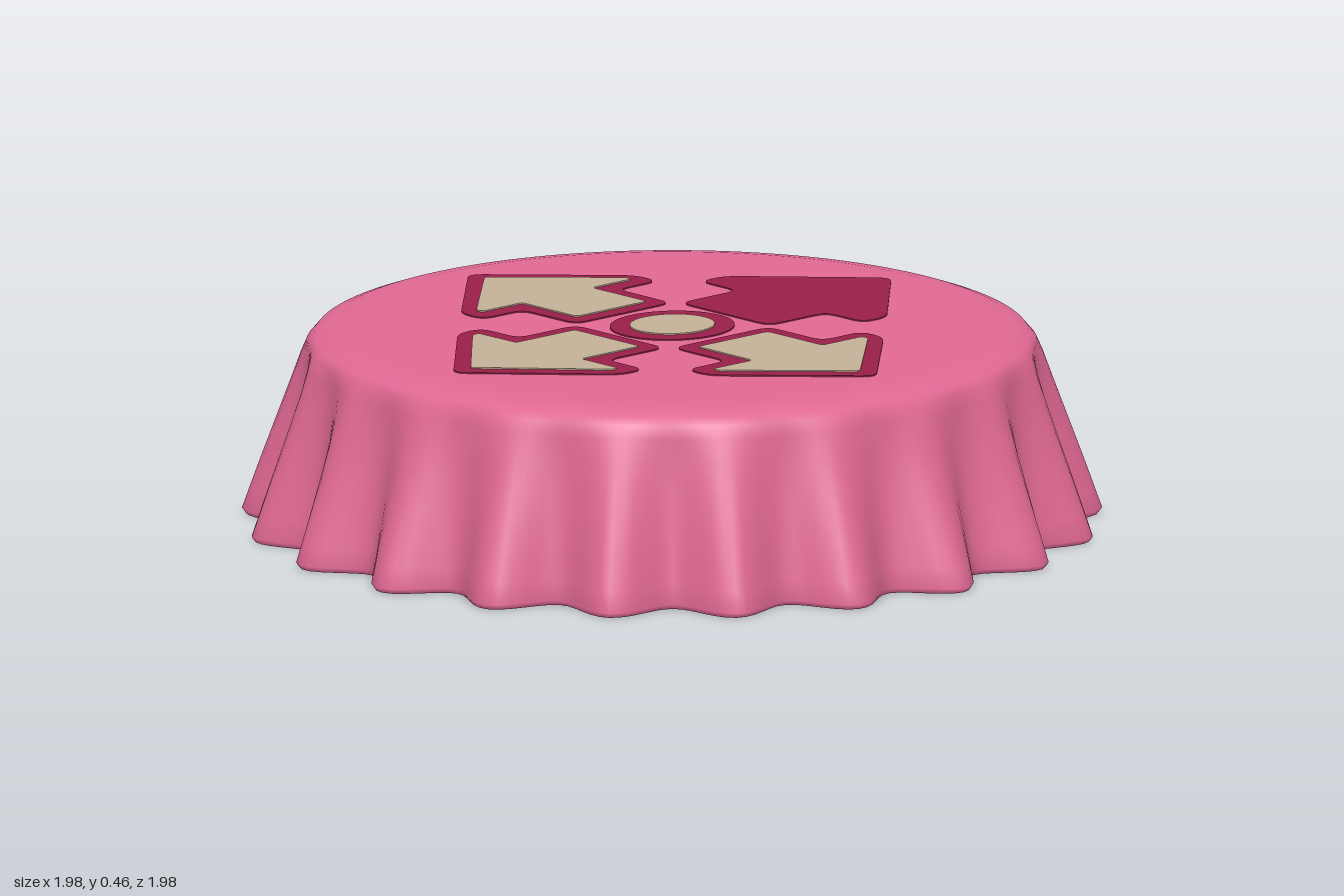
import * as THREE from 'three';
import { mergeVertices } from 'three/addons/utils/BufferGeometryUtils.js';

const mat = (name, color, side = THREE.FrontSide) => {
  const m = new THREE.MeshStandardMaterial({ color, side });
  m.name = name;
  return m;
};

const FLUTES = 21, TOP = 0.455, BOARD_Y = 0.08;

// Crimped cap: a lathed shell whose skirt is pushed inward in waves that fade towards the top
function capGeometry() {
  const profile = [
    [0.93, 0.085], [0.962, 0.02], [0.972, 0.003], [0.985, 0], [0.994, 0.012],
    [0.977, 0.06], [0.952, 0.13], [0.926, 0.2], [0.9, 0.27], [0.876, 0.335], [0.856, 0.39],
    [0.842, 0.422], [0.825, 0.438], [0.795, 0.449], [0.755, TOP], [0.7, TOP], [0, TOP],
  ].map(([r, y]) => new THREE.Vector2(r, y));
  let g = new THREE.LatheGeometry(profile, FLUTES * 12);
  const p = g.attributes.position;
  for (let i = 0; i < p.count; i++) {
    const x = p.getX(i), y = p.getY(i), z = p.getZ(i), r = Math.hypot(x, z);
    if (r < 0.01) continue;
    const amp = 0.1 * Math.pow(Math.max(0, 1 - y / 0.43), 0.8);
    const k = 1 + amp * (Math.cos(FLUTES * Math.atan2(z, x)) - 1) / 2 / r;
    p.setXYZ(i, x * k, y, z * k);
  }
  g.deleteAttribute('uv');
  g.deleteAttribute('normal');
  g = mergeVertices(g, 1e-5);
  g.computeVertexNormals();
  return g;
}

// Arrow along +x, given as its upper half; corners softened by radius
function arrowShape(half, radius) {
  const pts = [...half.map(([x, y]) => [x, -y]), ...half.slice().reverse()]
    .filter(([x, y], i, a) => i === 0 || Math.hypot(x - a[i - 1][0], y - a[i - 1][1]) > 1e-6)
    .map(([x, y]) => new THREE.Vector2(x, y));
  const s = new THREE.Shape();
  const n = pts.length;
  pts.forEach((c, i) => {
    const toward = (q) => {
      const d = q.clone().sub(c);
      return c.clone().addScaledVector(d, Math.min(radius / d.length(), 0.45));
    };
    const a = toward(pts[(i + n - 1) % n]), b = toward(pts[(i + 1) % n]);
    if (i === 0) s.moveTo(a.x, a.y); else s.lineTo(a.x, a.y);
    s.quadraticCurveTo(c.x, c.y, b.x, b.y);
  });
  s.closePath();
  return s;
}

export function createModel() {
  const model = new THREE.Group();
  model.name = 'bottleCap';
  const pink = mat('pink', 0xe06893, THREE.DoubleSide);
  const crimson = mat('crimson', 0x981f48);
  const cream = mat('cream', 0xc4b096);
  const green = mat('darkGreen', 0x0a3022);
  const black = mat('black', 0x222022);
  const grey = mat('warmGrey', 0xb09e8c);
  const brass = mat('brass', 0xa8742c);

  const add = (parent, name, geometry, material) => {
    const m = new THREE.Mesh(geometry, material);
    m.name = name;
    parent.add(m);
    return m;
  };

  add(model, 'cap', capGeometry(), pink);

  // Direction arrows and centre button on the top
  const marks = new THREE.Group();
  marks.name = 'topMarkings';
  marks.position.set(-0.01, TOP, -0.01);
  model.add(marks);
  const plate = (shape, depth) =>
    new THREE.ExtrudeGeometry(shape, { depth, bevelEnabled: false, curveSegments: 5 }).rotateX(-Math.PI / 2);
  const border = plate(arrowShape(
    [[0.165, 0.15], [0.345, 0.15], [0.345, 0.275], [0.42, 0.275], [0.69, 0]], 0.035), 0.003);
  const fill = plate(arrowShape(
    [[0.205, 0.11], [0.39, 0.11], [0.39, 0.235], [0.41, 0.235], [0.635, 0]], 0.012), 0.006);
  ['right', 'back', 'left', 'front'].forEach((name, i) => {
    const arrow = new THREE.Group();
    arrow.name = name + 'Arrow';
    arrow.rotation.y = i * Math.PI / 2;
    marks.add(arrow);
    add(arrow, 'arrowBorder', border, crimson);
    if (name !== 'back') add(arrow, 'arrowFill', fill, cream);
  });
  const disc = (r, h) => new THREE.CylinderGeometry(r, r, h, 48).translate(0, h / 2, 0);
  const ring = add(marks, 'buttonBorder', disc(0.138, 0.003), crimson);
  const button = add(marks, 'button', disc(0.094, 0.006), cream);
  ring.scale.z = button.scale.z = 1.08;

  // Circuit board closing the underside
  const board = new THREE.Group();
  board.name = 'circuitBoard';
  board.position.y = BOARD_Y;
  model.add(board);
  add(board, 'boardDisc', new THREE.CylinderGeometry(0.86, 0.86, 0.02, 96).translate(0, 0.01, 0), green);
  const spot = (name, x, z, rx, rz, material, h = 0.004) => {
    const m = add(board, name, new THREE.CylinderGeometry(1, 1, h, 32), material);
    m.scale.set(rx, 1, rz);
    m.position.set(x, -h / 2, z);
  };

  // Round chip with a ring of solder dots
  const cx = 0.145, cz = 0.045, dots = 18;
  spot('chip', cx, cz, 0.25, 0.25, black);
  for (let i = 0; i < dots; i++) {
    const a = (i / dots) * Math.PI * 2;
    spot('solderDot', cx + 0.29 * Math.cos(a), cz + 0.29 * Math.sin(a), 0.023, 0.023, grey);
  }

  // Large contacts, brass pads and small components
  spot('largeContact', -0.38, -0.36, 0.19, 0.19, grey);
  spot('smallContact', -0.33, 0.46, 0.15, 0.15, grey);
  spot('brassPad', 0.65, -0.02, 0.095, 0.095, brass);
  spot('brassPad', -0.65, 0.1, 0.095, 0.095, brass);
  for (const [x, z, r] of [[0.19, -0.51, 0.13], [0.305, 0.54, 0.12], [-0.375, 0.1, 0.1]]) {
    spot('componentPad', x, z, r, 0.06, grey);
    spot('component', x, z, r * 0.78, 0.058, brass, 0.007);
  }
  return model;
}
